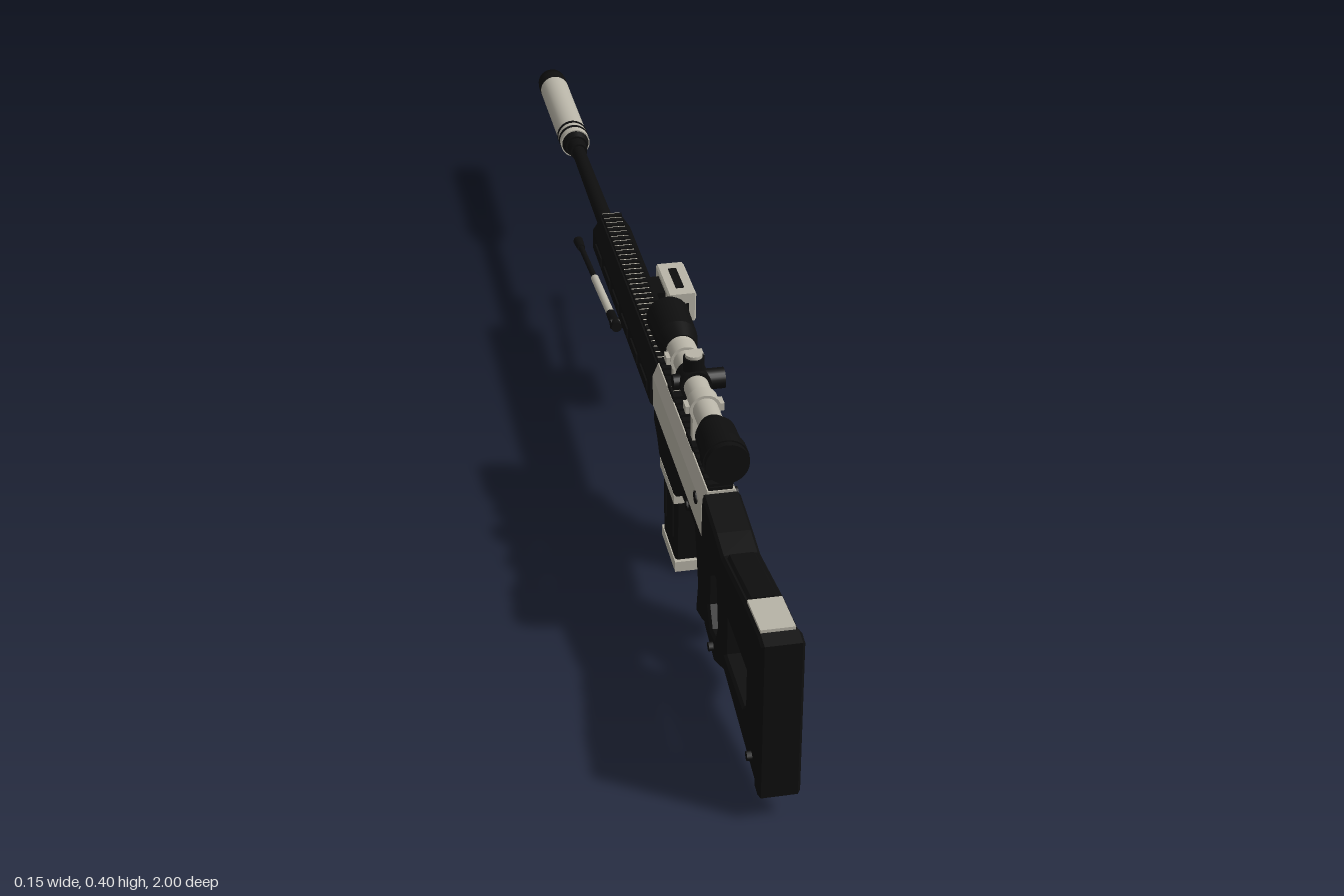
import * as THREE from 'three';

export function createModel() {
  const dark = new THREE.MeshStandardMaterial({ color: 0x0e0e0e, name: 'matte black' });
  const light = new THREE.MeshStandardMaterial({ color: 0xb9b5a8, name: 'warm grey' });
  const root = new THREE.Group();
  const body = new THREE.Group();
  body.name = 'rifle';
  body.position.x = -0.0325; // centre line sits left of the side-mounted device
  root.add(body);

  const add = (name, geo, mat) => {
    const m = new THREE.Mesh(geo, mat);
    m.name = name;
    body.add(m);
    return m;
  };
  const V = (p) => p.map(([a, b]) => new THREE.Vector2(a, b));
  const box = (name, mat, x, y, z, w, h, d) =>
    add(name, new THREE.BoxGeometry(w, h, d).translate(x, y, z), mat);
  // Side silhouette in (z, y), extruded across the width w
  const side = (name, mat, pts, w, holes = [], bevel = 0.004, x = 0) => {
    const s = new THREE.Shape(V(pts));
    holes.forEach((h) => s.holes.push(new THREE.Path(V(h))));
    const g = new THREE.ExtrudeGeometry(s, {
      depth: w - 2 * bevel, bevelEnabled: bevel > 0, bevelThickness: bevel,
      bevelSize: bevel, bevelOffset: -bevel, bevelSegments: 1,
    });
    g.translate(0, 0, -(w - 2 * bevel) / 2).rotateY(-Math.PI / 2).translate(x, 0, 0);
    return add(name, g, mat);
  };
  // Cross-section half in (x, y), mirrored and extruded from z0 to z1
  const along = (name, mat, half, z0, z1) => {
    const pts = [...half, ...half.slice().reverse().map(([x, y]) => [-x, y])];
    const g = new THREE.ExtrudeGeometry(new THREE.Shape(V(pts)), { depth: z1 - z0, bevelEnabled: false });
    return add(name, g.translate(0, 0, z0), mat);
  };
  // Tapered rod between two points
  const rod = (name, mat, a, b, ra, rb = ra, n = 20) => {
    const p = new THREE.Vector3(...a), q = new THREE.Vector3(...b);
    const d = q.clone().sub(p);
    const m = add(name, new THREE.CylinderGeometry(rb, ra, d.length(), n), mat);
    m.position.copy(p).add(q).multiplyScalar(0.5);
    m.quaternion.setFromUnitVectors(new THREE.Vector3(0, 1, 0), d.normalize());
    return m;
  };
  const tube = (name, mat, y, z0, z1, r0, r1 = r0, n = 28) => rod(name, mat, [0, y, z0], [0, y, z1], r0, r1, n);

  // Skeleton stock with two openings
  side('stock', dark, [
    [0.985, 0.292], [0.885, 0.284], [0.745, 0.262], [0.70, 0.27], [0.615, 0.28], [0.605, 0.21],
    [0.62, 0.118], [0.64, 0.07], [0.71, 0.053], [0.775, 0.085], [0.985, 0.046],
  ], 0.056, [
    [[0.91, 0.188], [0.78, 0.188], [0.775, 0.178], [0.775, 0.115], [0.89, 0.112], [0.91, 0.13]],
    [[0.715, 0.2], [0.68, 0.2], [0.66, 0.17], [0.66, 0.12], [0.68, 0.09], [0.71, 0.095], [0.728, 0.13]],
  ]);
  side('buttPad', dark, [[1.0, 0.292], [0.975, 0.296], [0.975, 0.044], [1.0, 0.041]], 0.059);
  side('cheekPlate', light, [[0.968, 0.2955], [0.89, 0.2895], [0.89, 0.284], [0.968, 0.29]], 0.048, [], 0);
  side('cheekRest', dark, [[0.885, 0.288], [0.75, 0.267], [0.75, 0.25], [0.885, 0.25]], 0.042);
  for (const z of [0.95, 0.70]) {
    rod('stockScrew', dark, [-0.035, 0.075, z], [0.035, 0.075, z], 0.007, 0.007, 10);
  }

  // Pistol grip with finger ridges
  side('grip', dark, [[0.585, 0.215], [0.53, 0.215], [0.53, 0.185], [0.56, 0.09],
    [0.548, 0.03], [0.60, 0.043], [0.605, 0.06], [0.585, 0.14]], 0.044, [], 0.006);
  for (let i = 0; i < 5; i++) {
    box('gripRidge', dark, 0, 0.16 - i * 0.024, 0.535 + i * 0.004, 0.032, 0.011, 0.022);
  }

  // Receiver: light upper shell over a dark lower frame
  along('upperReceiver', light, [[0.028, 0.208], [0.029, 0.262], [0.02, 0.284]], 0.24, 0.615);
  side('lowerReceiver', dark, [[0.615, 0.21], [0.615, 0.195], [0.53, 0.19], [0.50, 0.182],
    [0.42, 0.178], [0.405, 0.142], [0.285, 0.142], [0.265, 0.165], [0.24, 0.18], [0.24, 0.21]], 0.054);
  box('receiverRear', dark, 0, 0.245, 0.62, 0.05, 0.066, 0.016);
  box('portFrame', dark, 0.0285, 0.241, 0.345, 0.004, 0.032, 0.092);
  box('ejectionPort', light, 0.0295, 0.241, 0.345, 0.005, 0.019, 0.078);
  rod('receiverPin', dark, [-0.031, 0.252, 0.577], [0.033, 0.252, 0.577], 0.01, 0.01, 12);
  rod('selector', dark, [-0.03, 0.195, 0.51], [0.033, 0.195, 0.51], 0.008, 0.008, 12);

  // Trigger guard and trigger
  side('triggerGuard', dark, [[0.53, 0.19], [0.515, 0.142], [0.40, 0.138], [0.40, 0.19]], 0.022,
    [[[0.518, 0.182], [0.507, 0.15], [0.42, 0.148], [0.425, 0.182]]], 0.001);
  side('trigger', dark, [[0.475, 0.185], [0.46, 0.185], [0.452, 0.153], [0.458, 0.153]], 0.01, [], 0);

  // Magazine with light collar, inset strip and floor plate
  side('magazine', dark, [[0.40, 0.15], [0.298, 0.15], [0.302, 0.015], [0.395, 0.015]], 0.045);
  box('magazineFloor', light, 0, 0.009, 0.348, 0.048, 0.018, 0.108);
  box('magazineCollar', light, 0.001, 0.136, 0.348, 0.056, 0.016, 0.112);
  box('magazineStrip', light, 0.0225, 0.1, 0.352, 0.004, 0.06, 0.03);
  for (let i = 0; i < 2; i++) {
    box('magazineRib', dark, 0, 0.09, 0.322 + i * 0.058, 0.05, 0.07, 0.01);
  }

  // Faceted handguard with raised side ribs
  along('handguard', dark, [[0.02, 0.197], [0.033, 0.214], [0.033, 0.25], [0.019, 0.272]], -0.3, 0.24);
  for (const s of [-1, 1]) {
    for (let i = 0; i < 6; i++) {
      box('handguardRib', dark, s * 0.0335, 0.232, 0.19 - i * 0.085, 0.004, 0.018, 0.055);
    }
  }
  for (let i = 0; i < 6; i++) box('lowerRib', dark, 0, 0.197, 0.19 - i * 0.085, 0.026, 0.008, 0.05);
  tube('frontCollar', light, 0.2325, -0.298, -0.312, 0.029, 0.026, 8);

  // Top rail teeth
  box('railBase', dark, 0, 0.273, -0.033, 0.032, 0.008, 0.535);
  for (let i = 0; i < 30; i++) {
    box('railTooth', dark, 0, 0.277, 0.222 - i * 0.0177, 0.034, 0.008, 0.009);
    box('railInlay', light, 0, 0.2765, 0.213 - i * 0.0177, 0.03, 0.003, 0.007);
  }
  box('receiverRail', dark, 0, 0.286, 0.428, 0.036, 0.006, 0.37);
  for (let i = 0; i < 21; i++) box('receiverRailTooth', dark, 0, 0.29, 0.606 - i * 0.0178, 0.038, 0.007, 0.009);

  // Barrel and suppressor
  tube('barrel', dark, 0.2325, -0.3, -0.7, 0.015, 0.012);
  tube('muzzleNut', dark, 0.2325, -0.66, -0.69, 0.016, 0.018);
  tube('suppressorBase', dark, 0.2325, -0.685, -0.706, 0.021, 0.027);
  tube('suppressor', light, 0.2325, -0.7, -0.963, 0.0275);
  for (const z of [-0.715, -0.735]) tube('suppressorRing', dark, 0.2325, z, z - 0.007, 0.0285);
  tube('suppressorCap', dark, 0.2325, -0.96, -0.985, 0.028);
  const crown = [[0.0265, 0], [0.0265, 0.017], [0.01, 0.017], [0.008, 0.008], [0, 0.008]];
  const crownMesh = add('suppressorCrown', new THREE.LatheGeometry(V(crown), 24), dark);
  crownMesh.rotation.x = -Math.PI / 2;
  crownMesh.position.set(0, 0.2325, -0.983);

  // Telescopic sight
  const sy = 0.353;
  tube('scopeTube', light, sy, 0.56, 0.29, 0.019);
  tube('eyepiece', dark, sy, 0.655, 0.572, 0.032, 0.03);
  tube('eyepieceTaper', dark, sy, 0.572, 0.55, 0.03, 0.02);
  tube('eyepieceRim', dark, sy, 0.645, 0.625, 0.034);
  tube('scopeFlare', light, sy, 0.35, 0.31, 0.019, 0.025);
  tube('objectiveTaper', dark, sy, 0.322, 0.29, 0.025, 0.032);
  tube('objective', dark, sy, 0.29, 0.215, 0.032, 0.034);
  tube('turretSaddle', dark, sy, 0.436, 0.398, 0.024);
  rod('topTurret', dark, [0, sy + 0.015, 0.417], [0, 0.394, 0.417], 0.016, 0.016);
  rod('topTurretCap', light, [0, 0.394, 0.417], [0, 0.399, 0.417], 0.013, 0.013);
  rod('sideTurret', dark, [0, sy, 0.417], [0.046, sy, 0.417], 0.016, 0.016);
  rod('leftTurret', dark, [0, sy, 0.417], [-0.032, sy, 0.417], 0.012, 0.012);
  for (const z of [0.49, 0.345]) {
    tube('scopeRing', light, sy, z + 0.013, z - 0.013, 0.0235);
    box('scopeMount', light, 0, 0.314, z, 0.036, 0.046, 0.017);
    box('mountFoot', dark, 0, 0.294, z, 0.042, 0.01, 0.05);
    for (const s of [-1, 1]) box('ringClamp', light, s * 0.024, sy, z, 0.01, 0.012, 0.02);
  }

  // Folded bipod
  box('bipodMount', dark, 0, 0.186, -0.1, 0.04, 0.026, 0.05);
  rod('bipodAxle', dark, [-0.038, 0.172, -0.098], [0.038, 0.172, -0.098], 0.009, 0.009, 12);
  for (const s of [-1, 1]) {
    const at = (t) => [s * (0.03 + 0.005 * t), 0.174 - 0.026 * t, -0.08 - 0.38 * t];
    rod('bipodHinge', dark, at(0), at(0.15), 0.009, 0.008, 12);
    rod('bipodSleeve', light, at(0.15), at(0.55), 0.007, 0.007, 12);
    rod('bipodLeg', dark, at(0.52), at(0.95), 0.005, 0.005, 12);
    rod('bipodFoot', dark, at(0.91), at(1), 0.007, 0.009, 12);
  }

  // Side-mounted aiming device
  const dx = 0.073, dy = 0.229, dz = -0.085;
  box('deviceBracket', dark, 0.04, dy, dz, 0.018, 0.034, 0.06);
  side('deviceBody', light, [[-0.028, 0.203], [-0.028, 0.255], [-0.142, 0.255], [-0.142, 0.203]], 0.048, [], 0.003, dx);
  box('deviceRearPanel', dark, dx, dy, -0.028, 0.022, 0.016, 0.004);
  box('deviceLens', dark, dx, dy, -0.142, 0.022, 0.022, 0.004);
  box('deviceTopPanel', dark, dx, 0.255, dz, 0.014, 0.003, 0.07);
  rod('deviceKnob', dark, [dx + 0.02, dy, dz], [dx + 0.029, dy, dz], 0.009, 0.009, 14);
  rod('deviceScrew', dark, [dx + 0.012, 0.204, dz], [dx + 0.012, 0.196, dz], 0.007, 0.007, 12);

  return root;
}
